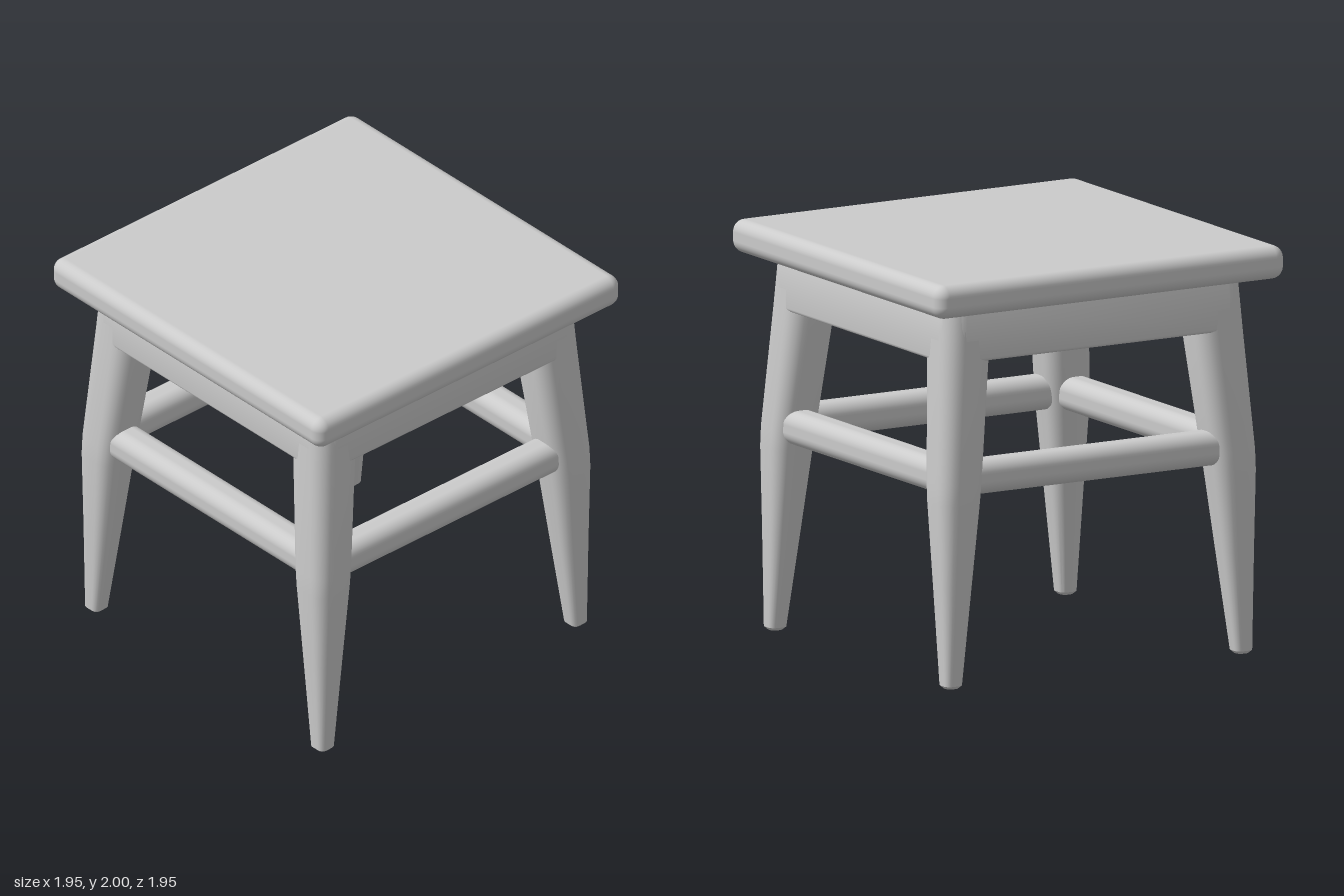
import * as THREE from 'three';
import { toCreasedNormals } from 'three/addons/utils/BufferGeometryUtils.js';
import { RoundedBoxGeometry } from 'three/addons/geometries/RoundedBoxGeometry.js';

const material = new THREE.MeshStandardMaterial({ color: 0xcccccc });

function add(parent, name, geometry) {
  const mesh = new THREE.Mesh(geometry, material);
  mesh.name = name;
  parent.add(mesh);
  return mesh;
}

// Square outline with rounded corners, spanning -half..half
function roundedSquare(half, r) {
  const shape = new THREE.Shape();
  for (let i = 0; i < 4; i++) {
    const a = i * Math.PI / 2, c = Math.cos(a), s = Math.sin(a), k = half - r;
    shape.absarc(k * (c - s), k * (s + c), r, a, a + Math.PI / 2);
  }
  return shape.closePath();
}

// Tapered leg on the +x +z corner: rings of [y, inner, outer, corner radius]
const LEG_RINGS = [
  [0, 0.78, 0.845, 0.025],
  [0.015, 0.765, 0.86, 0.03],
  [0.5, 0.707, 0.873, 0.055],
  [0.9, 0.66, 0.885, 0.075],
  [1.0, 0.648, 0.883, 0.078],
  [1.585, 0.58, 0.843, 0.09],
  [1.85, 0.58, 0.825, 0.09],
];

function legGeometry() {
  const positions = [], index = [], arcSteps = 5, n = 4 * (arcSteps + 1);
  for (const [y, inner, outer, r] of LEG_RINGS) {
    const mid = (inner + outer) / 2, k = (outer - inner) / 2 - r;
    for (let q = 0; q < 4; q++) {
      const a0 = q * Math.PI / 2;
      const cx = k * (Math.cos(a0) - Math.sin(a0)), cz = k * (Math.sin(a0) + Math.cos(a0));
      for (let i = 0; i <= arcSteps; i++) {
        const a = a0 + (i / arcSteps) * Math.PI / 2;
        positions.push(mid + cx + r * Math.cos(a), y, mid + cz + r * Math.sin(a));
      }
    }
  }
  for (let j = 0; j < LEG_RINGS.length - 1; j++) {
    for (let i = 0; i < n; i++) {
      const a = j * n + i, b = j * n + (i + 1) % n;
      index.push(a, a + n, b, b, a + n, b + n);
    }
  }
  // Foot and top caps
  const top = (LEG_RINGS.length - 1) * n;
  for (let i = 1; i < n - 1; i++) {
    index.push(0, i, i + 1, top, top + i + 1, top + i);
  }
  const geometry = new THREE.BufferGeometry();
  geometry.setAttribute('position', new THREE.Float32BufferAttribute(positions, 3));
  geometry.setIndex(index);
  return toCreasedNormals(geometry, 0.6);
}

// Square frame under the seat, narrowing slightly towards the top
function apronGeometry() {
  const bottom = 1.585, height = 0.26, bevel = 0.015;
  const frame = roundedSquare(0.842, 0.1);
  frame.holes.push(roundedSquare(0.64, 0.02));
  const geometry = new THREE.ExtrudeGeometry(frame, {
    depth: height - 2 * bevel, curveSegments: 6,
    bevelSize: bevel, bevelThickness: bevel, bevelOffset: -bevel, bevelSegments: 3,
  });
  geometry.rotateX(-Math.PI / 2).translate(0, bottom + bevel, 0);
  const p = geometry.attributes.position;
  for (let i = 0; i < p.count; i++) {
    const s = 1 - 0.018 * (p.getY(i) - bottom) / height;
    p.setX(i, p.getX(i) * s);
    p.setZ(i, p.getZ(i) * s);
  }
  return toCreasedNormals(geometry, 0.7);
}

export function createModel() {
  const group = new THREE.Group();
  group.name = 'stool';

  // Soft-edged seat board
  add(group, 'seat', new RoundedBoxGeometry(1.95, 0.163, 1.95, 5, 0.06)).position.y = 1.9185;

  add(group, 'apron', apronGeometry());

  // Four legs and four stretchers, repeated around the centre
  const leg = legGeometry();
  const stretcher = new RoundedBoxGeometry(1.5, 0.167, 0.17, 5, 0.065).translate(0, 1.013, 0.77);
  const sides = ['front', 'left', 'back', 'right'];
  const corners = ['frontLeft', 'backLeft', 'backRight', 'frontRight'];
  for (let i = 0; i < 4; i++) {
    add(group, corners[i] + 'Leg', leg).rotation.y = i * Math.PI / 2;
    add(group, sides[i] + 'Stretcher', stretcher).rotation.y = i * Math.PI / 2;
  }
  return group;
}
